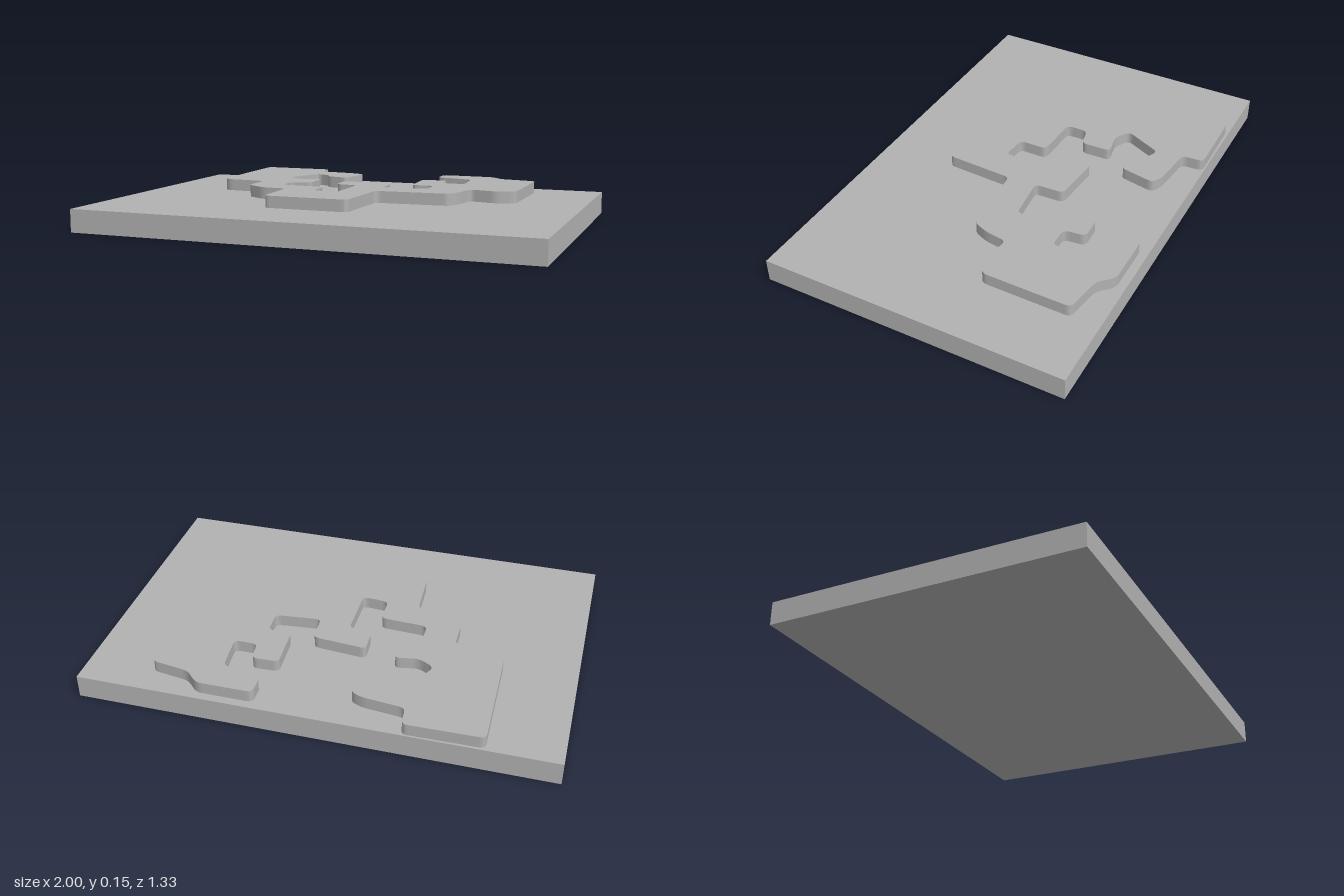
import * as THREE from 'three';

// Closed outline with each corner softened by a short curve
function roundedShape(points, radius) {
  const pts = points.map(([x, z]) => new THREE.Vector2(x, -z));
  const shape = new THREE.Shape();
  pts.forEach((p, i) => {
    const prev = pts[(i + pts.length - 1) % pts.length];
    const next = pts[(i + 1) % pts.length];
    const toward = (q) => p.clone().lerp(q, Math.min(0.45, radius / p.distanceTo(q)));
    const a = toward(prev), b = toward(next);
    if (i === 0) shape.moveTo(a.x, a.y);
    else shape.lineTo(a.x, a.y);
    shape.quadraticCurveTo(p.x, p.y, b.x, b.y);
  });
  shape.closePath();
  return shape;
}

export function createModel() {
  const group = new THREE.Group();
  const grey = new THREE.MeshStandardMaterial({ color: 0xb2b2b2 });
  grey.name = 'grey';

  // Base slab
  const base = new THREE.Mesh(new THREE.BoxGeometry(2, 0.1, 1.334), grey);
  base.name = 'baseSlab';
  base.position.y = 0.05;
  group.add(base);

  // Raised relief outline, as x and z pairs
  const outline = [
    [-0.70, -0.655], [-0.37, -0.66], [-0.365, -0.565], [-0.18, -0.545], [-0.13, -0.52],
    [-0.16, -0.36], [-0.265, -0.385], [-0.27, -0.42], [-0.34, -0.455], [-0.42, -0.285],
    [-0.35, -0.245], [-0.25, -0.265], [-0.245, -0.13], [-0.335, -0.11], [-0.335, -0.015],
    [-0.13, -0.005], [-0.13, 0.12], [-0.015, 0.13], [-0.015, -0.11], [-0.115, -0.12],
    [-0.12, -0.235], [0.115, -0.215], [0.12, -0.085], [0.32, -0.105], [0.315, -0.215],
    [0.215, -0.21], [0.205, -0.415], [0.32, -0.42], [0.33, -0.325], [0.43, -0.325],
    [0.415, -0.495], [0.245, -0.535], [0.245, -0.63], [0.485, -0.63], [0.545, -0.57],
    [0.71, -0.545], [0.705, -0.155], [0.62, -0.125], [0.50, -0.15], [0.485, -0.05],
    [0.455, 0.02], [0.13, 0.04], [0.115, 0.345], [-0.26, 0.345], [-0.27, 0.11],
    [-0.385, 0.10], [-0.475, 0.045], [-0.475, -0.105], [-0.66, -0.115], [-0.69, -0.14],
  ];
  const geometry = new THREE.ExtrudeGeometry(roundedShape(outline, 0.025), {
    depth: 0.052, bevelEnabled: false, curveSegments: 4,
  });
  geometry.rotateX(-Math.PI / 2);
  const relief = new THREE.Mesh(geometry, grey);
  relief.name = 'raisedRelief';
  relief.position.y = 0.1;
  group.add(relief);

  return group;
}
